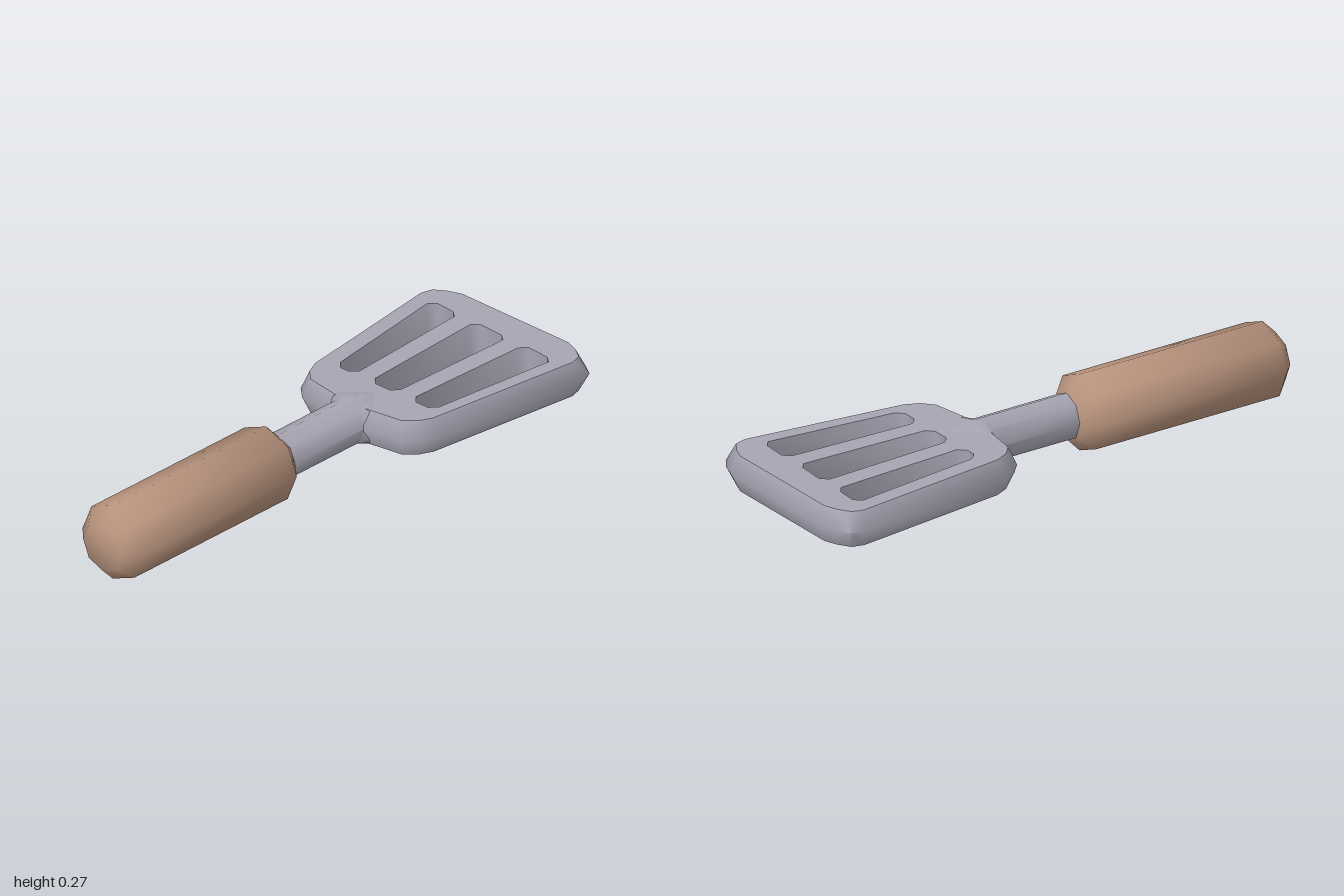
import * as THREE from 'three';
import { toCreasedNormals } from 'three/addons/utils/BufferGeometryUtils.js';

const MID = 0.138; // height of the tool's long axis
const CREASE = Math.PI / 3;

// Eight-sided turned bar lying along x; profile is [x, radius] pairs.
function turnedBar(profile) {
  const geo = new THREE.LatheGeometry(profile.map(([x, r]) => new THREE.Vector2(r, x)), 8);
  geo.rotateZ(-Math.PI / 2);
  return geo;
}

function addMesh(group, name, geo, material) {
  const mesh = new THREE.Mesh(toCreasedNormals(geo, CREASE), material);
  mesh.name = name;
  group.add(mesh);
  return mesh;
}

// Slot with clipped corners, from its x range and the z of its edges at each end.
function slotPath(x0, x1, backL, backR, frontL, frontR) {
  const c = 0.025;
  return new THREE.Path([
    [x0, backL + c], [x0 + c, backL], [x1 - c, backR], [x1, backR + c],
    [x1 - 0.005, frontR - c], [x1 - c, frontR], [x0 + c, frontL], [x0, frontL - c],
  ].map(([x, z]) => new THREE.Vector2(x, -z)));
}

export function createModel() {
  const wood = new THREE.MeshStandardMaterial({ color: 0xb8937d });
  wood.name = 'wood';
  const metal = new THREE.MeshStandardMaterial({ color: 0xa8a5b4 });
  metal.name = 'metal';

  const model = new THREE.Group();
  model.name = 'slottedSpatula';

  // Handle with chamfered ends
  const handle = turnedBar([
    [-1, 0], [-1, 0.087], [-0.95, 0.137], [-0.217, 0.137], [-0.165, 0.083], [-0.165, 0],
  ]);
  addMesh(model, 'handle', handle, wood).position.y = MID;

  // Shaft, spreading sideways and flattening into the blade
  const shaft = turnedBar([
    [-0.19, 0], [-0.19, 0.083], [0.17, 0.083], [0.205, 0.083], [0.31, 0.06], [0.31, 0],
  ]);
  const sp = shaft.attributes.position;
  for (let i = 0; i < sp.count; i++) {
    sp.setZ(i, sp.getZ(i) * (sp.getX(i) > 0.2 ? 1.7 : 0.92));
  }
  addMesh(model, 'shaft', shaft, metal).position.y = MID;

  // Blade: mirrored outline with three slots
  const half = [
    [0.19, 0.06], [0.213, 0.205], [0.25, 0.245], [0.3, 0.268],
    [0.885, 0.342], [0.927, 0.33], [0.955, 0.288], [0.973, 0.24],
  ];
  const outline = [...half, ...half.map(([x, z]) => [x, -z]).reverse()];
  const shape = new THREE.Shape(outline.map(([x, z]) => new THREE.Vector2(x, -z)));
  shape.holes.push(
    slotPath(0.337, 0.87, -0.212, -0.277, -0.126, -0.153),
    slotPath(0.337, 0.863, -0.055, -0.077, 0.058, 0.072),
    slotPath(0.337, 0.858, 0.128, 0.145, 0.23, 0.282),
  );
  const thick = 0.127;
  const blade = new THREE.ExtrudeGeometry(shape, { depth: thick, steps: 2, bevelEnabled: false });
  blade.rotateX(-Math.PI / 2);

  // Push the middle of the outer rim outward to a soft ridge
  const bp = blade.attributes.position;
  const cx = 0.58;
  for (let i = 0; i < bp.count; i++) {
    const x = bp.getX(i);
    const onRim = x < 0.32 || x > 0.875;
    if (onRim && Math.abs(bp.getY(i) - thick / 2) < 0.01) {
      bp.setX(i, cx + (x - cx) * 1.066);
      bp.setZ(i, bp.getZ(i) * 1.08);
    }
  }
  addMesh(model, 'blade', blade, metal).position.y = MID - thick / 2;

  return model;
}
